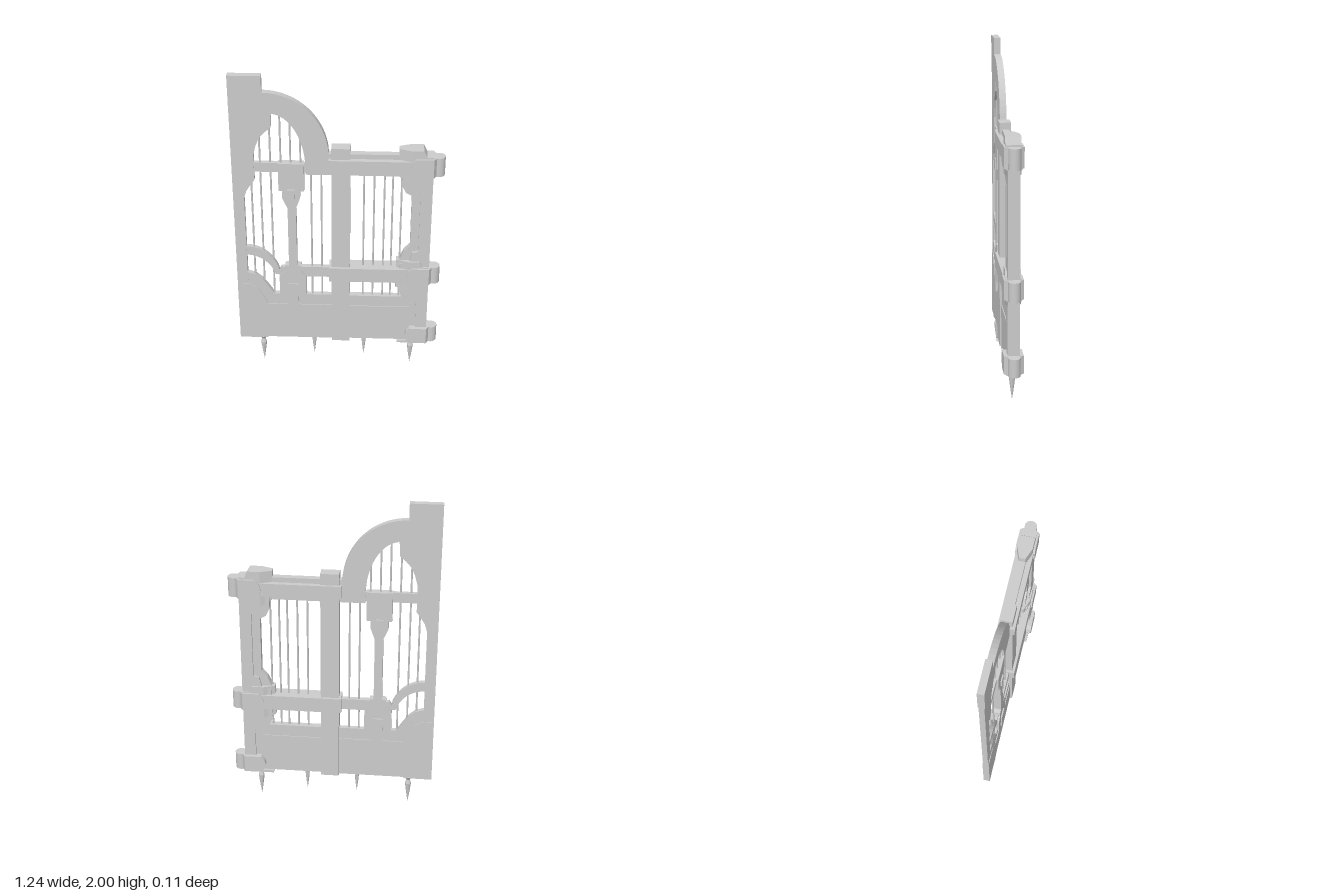
import * as THREE from 'three';

const material = new THREE.MeshStandardMaterial({ color: 0xcccccc });
const flat = new THREE.MeshStandardMaterial({ color: 0xcccccc, flatShading: true });

export function createModel() {
  const model = new THREE.Group();

  function add(name, geometry, mat = flat) {
    const mesh = new THREE.Mesh(geometry, mat);
    mesh.name = name;
    model.add(mesh);
    return mesh;
  }

  // Flat plate cut from an outline, reaching half its depth to each side of z = 0
  function plate(name, points, half, holes = []) {
    const shape = new THREE.Shape(points.map(([x, y]) => new THREE.Vector2(x, y)));
    for (const hole of holes) shape.holes.push(new THREE.Path(hole.map(([x, y]) => new THREE.Vector2(x, y))));
    const g = new THREE.ExtrudeGeometry(shape, { depth: half * 2, bevelEnabled: false });
    g.translate(0, 0, -half);
    return add(name, g);
  }

  const rect = (name, x0, x1, y0, y1, half) =>
    plate(name, [[x0, y0], [x1, y0], [x1, y1], [x0, y1]], half);

  // Points along an elliptical arc, angles in degrees
  function arc(cx, cy, rx, ry, from, to, n = 12) {
    return Array.from({ length: n + 1 }, (_, i) => {
      const a = THREE.MathUtils.degToRad(from + (to - from) * i / n);
      return [cx + rx * Math.cos(a), cy + ry * Math.sin(a)];
    });
  }

  // Tall left stile with its shaped inner edge
  plate('tallStile', [[-0.62, 0.19], [-0.555, 0.19], [-0.555, 1.21], [-0.54, 1.26], [-0.515, 1.3],
    [-0.49, 1.335], [-0.49, 1.5], [-0.475, 1.56], [-0.455, 1.61], [-0.42, 1.65], [-0.385, 1.68],
    [-0.38, 1.77], [-0.62, 1.77]], 0.016);

  // Top block running into the quarter arch
  plate('archCrown', [[-0.62, 1.77], ...arc(-0.39, 1.42, 0.2, 0.35, 90, 0), [-0.19, 1.38], [-0.03, 1.38],
    [-0.03, 1.52], ...arc(-0.43, 1.5, 0.375, 0.4, 3, 90, 16), [-0.43, 2], [-0.62, 2]], 0.02);

  // Solid lower panel: thin shaped border with a thicker field below it
  plate('lowerPanelBorder', [[-0.62, 0.19], [0, 0.19], [0, 0.525], [-0.395, 0.525], [-0.43, 0.58],
    [-0.465, 0.63], [-0.505, 0.665], [-0.555, 0.68], [-0.62, 0.68]], 0.015);
  plate('lowerPanelField', [[-0.62, 0.185], [-0.45, 0.185], [-0.43, 0.2], [0, 0.2], [0, 0.45], [-0.435, 0.45],
    [-0.465, 0.515], [-0.5, 0.57], [-0.555, 0.6], [-0.62, 0.6]], 0.02);

  // Rails and curved brace of the tall half
  rect('upperCrossBar', -0.51, -0.18, 1.39, 1.45, 0.013);
  rect('middleCrossBar', -0.24, 0, 0.66, 0.73, 0.016);
  plate('curvedBrace', [[-0.56, 0.81], ...arc(-0.555, 0.61, 0.18, 0.2, 85, 18, 8), [-0.3, 0.66],
    [-0.3, 0.72], [-0.345, 0.725], [-0.36, 0.70],
    ...arc(-0.555, 0.62, 0.21, 0.25, 25, 85, 8), [-0.56, 0.87]], 0.014);

  // Central baluster with blocks and tabs
  plate('baluster', [[-0.36, 0.5], [-0.195, 0.5], [-0.195, 0.66], [-0.225, 0.7], [-0.225, 0.74], [-0.25, 0.745],
    [-0.25, 1.15], [-0.225, 1.22], [-0.225, 1.27], [-0.2, 1.27], [-0.2, 1.45], [-0.35, 1.45],
    [-0.35, 1.27], [-0.33, 1.27], [-0.33, 1.22], [-0.3, 1.15], [-0.3, 0.745], [-0.325, 0.74],
    [-0.325, 0.7], [-0.36, 0.66]], 0.024);
  rect('upperTab', -0.3, -0.255, 1.21, 1.28, 0.032);
  rect('lowerTab', -0.31, -0.245, 0.43, 0.61, 0.032);

  // Middle post and the heavy rails clamped over it
  rect('middlePost', -0.04, 0.07, 0.185, 1.56, 0.034);
  rect('topRail', -0.055, 0.45, 1.41, 1.49, 0.05);
  rect('middleRail', -0.055, 0.45, 0.65, 0.745, 0.05);

  // Short half: frame with two shaped openings
  plate('shortFrame', [[0.05, 0.2], [0.55, 0.2], [0.55, 1.52], [0.05, 1.52]], 0.02, [
    [[0.07, 0.74], [0.37, 0.74], [0.37, 0.8], [0.395, 0.86], [0.43, 0.9], [0.43, 1.25], [0.395, 1.27],
      [0.37, 1.32], [0.37, 1.38], [0.07, 1.38]],
    [[0.07, 0.525], [0.39, 0.525], [0.37, 0.57], [0.37, 0.66], [0.07, 0.66]],
  ]);
  rect('shortPanelField', 0.05, 0.44, 0.2, 0.45, 0.025);

  // Raised hinge stile, swelling towards the hinges
  plate('hingeStile', [[0.55, 0.2], [0.55, 1.45], [0.37, 1.45], [0.37, 1.34], [0.4, 1.305], [0.435, 1.29],
    [0.48, 1.285], [0.48, 0.87], [0.445, 0.86], [0.43, 0.8], [0.37, 0.78], [0.37, 0.6], [0.4, 0.585],
    [0.425, 0.53], [0.44, 0.5], [0.48, 0.485], [0.48, 0.2]], 0.035);

  // Chamfered brackets behind the upper two hinges
  function taper(y0, y1, y2) {
    const mesh = plate('bracketTip', [[0.35, y1], [0.42, y0], [0.42, y2], [0.35, y2]], 0.045);
    const p = mesh.geometry.attributes.position;
    for (let i = 0; i < p.count; i++) if (p.getX(i) < 0.4) p.setZ(i, Math.sign(p.getZ(i)) * 0.018);
  }
  taper(1.34, 1.38, 1.56);
  plate('topBracket', [[0.42, 1.34], [0.49, 1.34], [0.51, 1.38], [0.55, 1.38], [0.55, 1.52], [0.51, 1.52],
    [0.49, 1.56], [0.42, 1.56]], 0.045);
  taper(0.59, 0.6, 0.8);
  plate('middleBracket', [[0.42, 0.59], [0.49, 0.59], [0.51, 0.63], [0.55, 0.63], [0.55, 0.76], [0.51, 0.76],
    [0.49, 0.8], [0.42, 0.8]], 0.045);
  rect('bottomFoot', 0.37, 0.55, 0.185, 0.2, 0.04);

  // Hinges: rounded strap, neck and knuckle
  for (const [y0, y1] of [[0.195, 0.305], [0.64, 0.755], [1.39, 1.51]]) {
    const mid = (y0 + y1) / 2, h = y1 - y0;
    plate('hingeStrap', [[0.55, y0], [0.55, y1], [0.445, y1], [0.425, y1 - 0.025], [0.416, mid],
      [0.425, y0 + 0.025], [0.445, y0]], 0.057);
    const neck = plate('hingeNeck', [[0.55, -0.057], [0.566, -0.03], [0.585, -0.03], [0.585, 0.03],
      [0.566, 0.03], [0.55, 0.057]], h / 2);
    neck.rotation.x = Math.PI / 2;
    neck.position.y = mid;
    add('hingeKnuckle', new THREE.CylinderGeometry(0.036, 0.036, h, 16), material).position.set(0.58, mid, 0);
  }

  // Thin vertical bars: x, bottom, top
  const bars = [[-0.51, 0.64, 1.32], [-0.455, 0.58, 1.63], [-0.395, 0.5, 1.7], [-0.335, 1.4, 1.77],
    [-0.278, 1.4, 1.73], [-0.22, 1.4, 1.62], [-0.16, 0.5, 1.4], [-0.1, 0.5, 1.4]];
  for (const x of [0.15, 0.21, 0.27, 0.318, 0.37]) bars.push([x, 0.5, 1.4]);
  for (const [x, y0, y1] of bars)
    add('bar', new THREE.CylinderGeometry(0.006, 0.006, y1 - y0, 6), material).position.set(x, (y0 + y1) / 2, 0);

  // Ground spikes, large at the ends and small between
  function spike(name, x, profile) {
    const points = profile.map(([r, y]) => new THREE.Vector2(r, y));
    add(name, new THREE.LatheGeometry(points, 8)).position.x = x;
  }
  for (const x of [-0.475, 0.455])
    spike('largeSpike', x, [[0, 0], [0.009, 0.06], [0.019, 0.14], [0.011, 0.165], [0.026, 0.19], [0, 0.192]]);
  for (const x of [-0.152, 0.16])
    spike('smallSpike', x, [[0, 0.06], [0.009, 0.13], [0.015, 0.2], [0, 0.205]]);

  return model;
}
